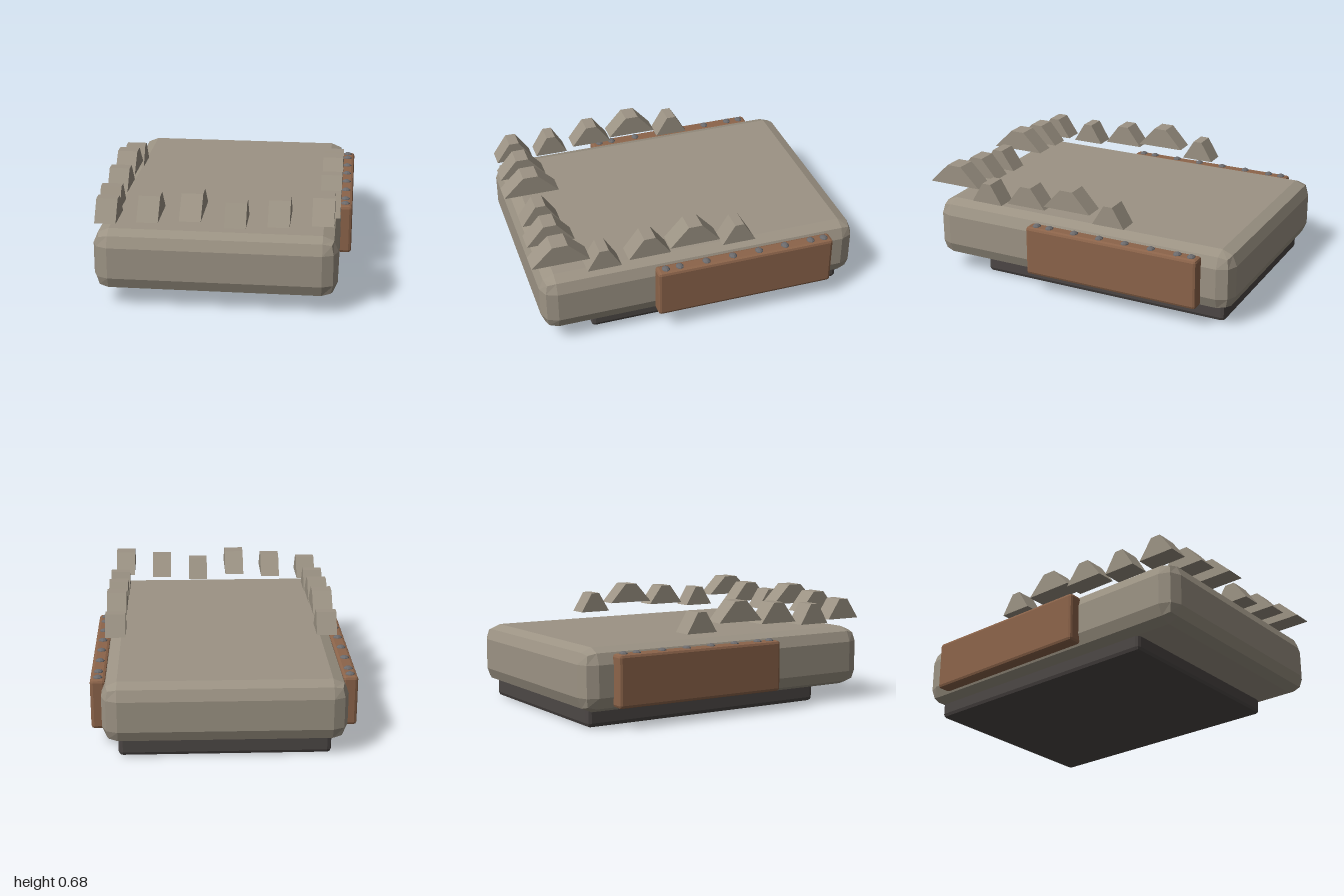
import * as THREE from 'three';
import { RoundedBoxGeometry } from 'three/addons/geometries/RoundedBoxGeometry.js';

const mat = (name, color) => new THREE.MeshStandardMaterial({ name, color, flatShading: true });

export function createModel() {
  const stone = mat('warm grey stone', 0x9c9384);
  const dark = mat('dark base', 0x4c4745);
  const leather = mat('brown leather', 0x8c644a);
  const metal = mat('rivet metal', 0x6b6a6c);
  const model = new THREE.Group();
  model.name = 'model';

  const add = (name, geometry, material, x, y, z) => {
    const mesh = new THREE.Mesh(geometry, material);
    mesh.name = name;
    mesh.position.set(x, y, z);
    model.add(mesh);
    return mesh;
  };

  // Box with chamfered edges, given by its limits
  const slab = (name, material, [x0, x1], [y0, y1], [z0, z1], radius) =>
    add(name, new RoundedBoxGeometry(x1 - x0, y1 - y0, z1 - z0, 1, radius), material,
      (x0 + x1) / 2, (y0 + y1) / 2, (z0 + z1) / 2);

  slab('body', stone, [-0.7, 0.7], [0.09, 0.455], [-1, 0.955], 0.09);
  slab('base', dark, [-0.61, 0.61], [0, 0.16], [-0.935, 0.65], 0.025);

  // Tooth: trapezoid in the z-y plane, extruded across x
  const tooth = (name, x, y, z, length) => {
    const a = length / 2, b = a * 0.27, h = 0.122;
    const shape = new THREE.Shape([
      new THREE.Vector2(-a, 0), new THREE.Vector2(a, 0),
      new THREE.Vector2(b, h), new THREE.Vector2(-b, h),
    ]);
    const geometry = new THREE.ExtrudeGeometry(shape, { depth: 0.122, bevelEnabled: false });
    geometry.translate(0, 0, -0.061).rotateY(-Math.PI / 2);
    add(name, geometry, stone, x, y, z);
  };

  // Front row, sizes repeating in threes
  for (let i = 0; i < 6; i++) {
    const k = i % 3;
    tooth('frontTooth', -0.614 + i * 0.245, 0.51 + k * 0.026, 0.83, 0.23 + k * 0.055);
  }

  const rivet = new THREE.SphereGeometry(1, 8, 6);
  rivet.scale(0.03, 0.02, 0.026);
  const rivetZ = [-0.77, -0.685, -0.52, -0.355, -0.19, -0.025, 0.14, 0.225];
  const sideZ = [0.583, 0.312, 0.037, -0.235];

  // Both sides: panel, rivets and row of teeth
  for (const s of [-1, 1]) {
    const side = s > 0 ? 'left' : 'right';
    slab(side + 'Panel', leather, s > 0 ? [0.678, 0.768] : [-0.768, -0.678],
      [0.12, 0.423], [-0.818, 0.28], 0.018);
    for (const z of rivetZ) add(side + 'Rivet', rivet, metal, s * 0.724, 0.418, z);
    sideZ.forEach((z, i) => {
      const k = i % 3;
      tooth(side + 'Tooth', s * 0.64, 0.496 + k * 0.024, z, 0.203 + k * 0.05);
    });
  }
  return model;
}
